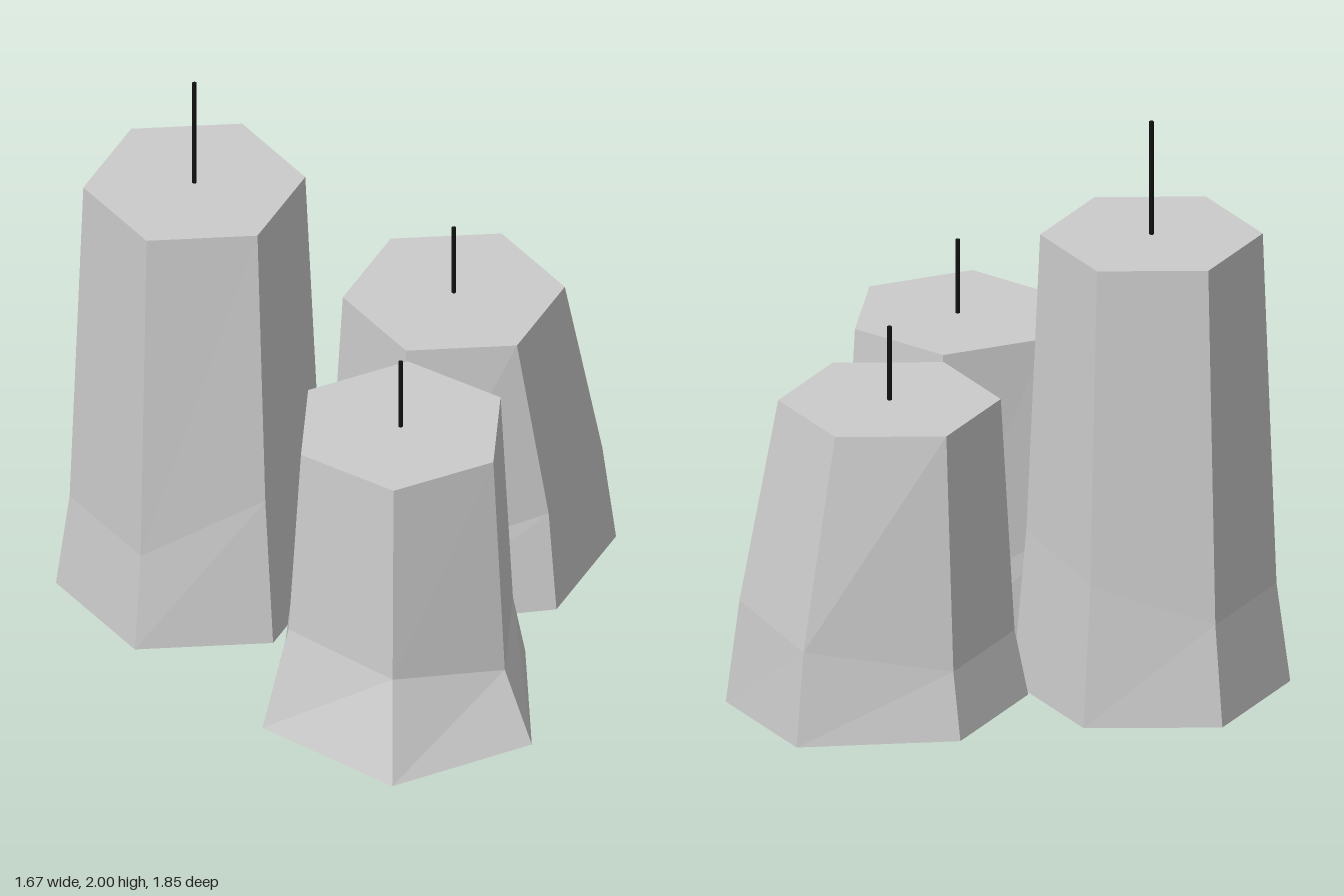
import * as THREE from 'three';

const SIDES = 6;
// height of the bend at each corner, as a share of the candle height
const BEND = [0.343, 0.305, 0.219, 0.219, 0.219, 0.343];

const wax = new THREE.MeshStandardMaterial({ color: 0xcccccc, flatShading: true, side: THREE.DoubleSide });
const wickMaterial = new THREE.MeshStandardMaterial({ color: 0x111111 });

// Open-bottomed hexagonal body: base ring, uneven bend ring, top ring and cap.
// baseShift / bendShift push single corners outward: { corner: [dx, dz] }
function candleBody({ base, top, turn, baseShift = {}, bendShift = {} }) {
  const ring = (radius, heightAt, shift) => Array.from({ length: SIDES }, (_, k) => {
    const a = THREE.MathUtils.degToRad(30 - 60 * k + turn);
    const [dx, dz] = shift[k] || [0, 0];
    return [radius * Math.cos(a) + dx, heightAt(k), radius * Math.sin(a) + dz];
  });
  const rings = [
    ring(0.455, () => base, baseShift),
    ring(0.41, k => base + BEND[k] * (top - base), bendShift),
    ring(0.365, () => top, {}),
  ];
  const centre = [0, top, 0];
  const points = [];
  for (let k = 0; k < SIDES; k++) {
    const n = (k + 1) % SIDES;
    for (let r = 0; r < 2; r++) {
      const [lo, hi] = [rings[r], rings[r + 1]];
      points.push(...lo[k], ...lo[n], ...hi[n], ...lo[k], ...hi[n], ...hi[k]);
    }
    points.push(...centre, ...rings[2][k], ...rings[2][n]);
  }
  const geometry = new THREE.BufferGeometry();
  geometry.setAttribute('position', new THREE.Float32BufferAttribute(points, 3));
  geometry.computeVertexNormals();
  return geometry;
}

function candle(name, spec) {
  const group = new THREE.Group();
  group.name = name;
  group.position.set(spec.x, 0, spec.z);

  const body = new THREE.Mesh(candleBody(spec), wax);
  body.name = 'candleBody';

  const length = spec.wickTop - spec.top;
  const wick = new THREE.Mesh(new THREE.CylinderGeometry(0.008, 0.008, length, 8), wickMaterial);
  wick.name = 'wick';
  wick.position.y = spec.top + length / 2;

  group.add(body, wick);
  return group;
}

export function createModel() {
  const model = new THREE.Group();
  model.name = 'candles';
  const sideways = { 0: [0.095, 0], 1: [0.095, 0], 5: [0.095, 0] };

  model.add(
    candle('tallCandle', { x: -0.442, z: -0.475, base: 0.01, top: 1.6, turn: 0, wickTop: 2 }),
    // leans out to one side below the bend
    candle('leaningCandle', {
      x: 0.343, z: -0.115, base: 0, top: 1.05, turn: 0, wickTop: 1.31,
      baseShift: sideways, bendShift: sideways,
    }),
    // foot flares out at the front
    candle('flaredCandle', {
      x: -0.228, z: 0.407, base: 0, top: 1.05, turn: 158.3, wickTop: 1.31,
      baseShift: { 0: [-0.055, 0], 1: [-0.06, 0.09], 2: [0, 0.09] },
    }),
  );
  return model;
}
